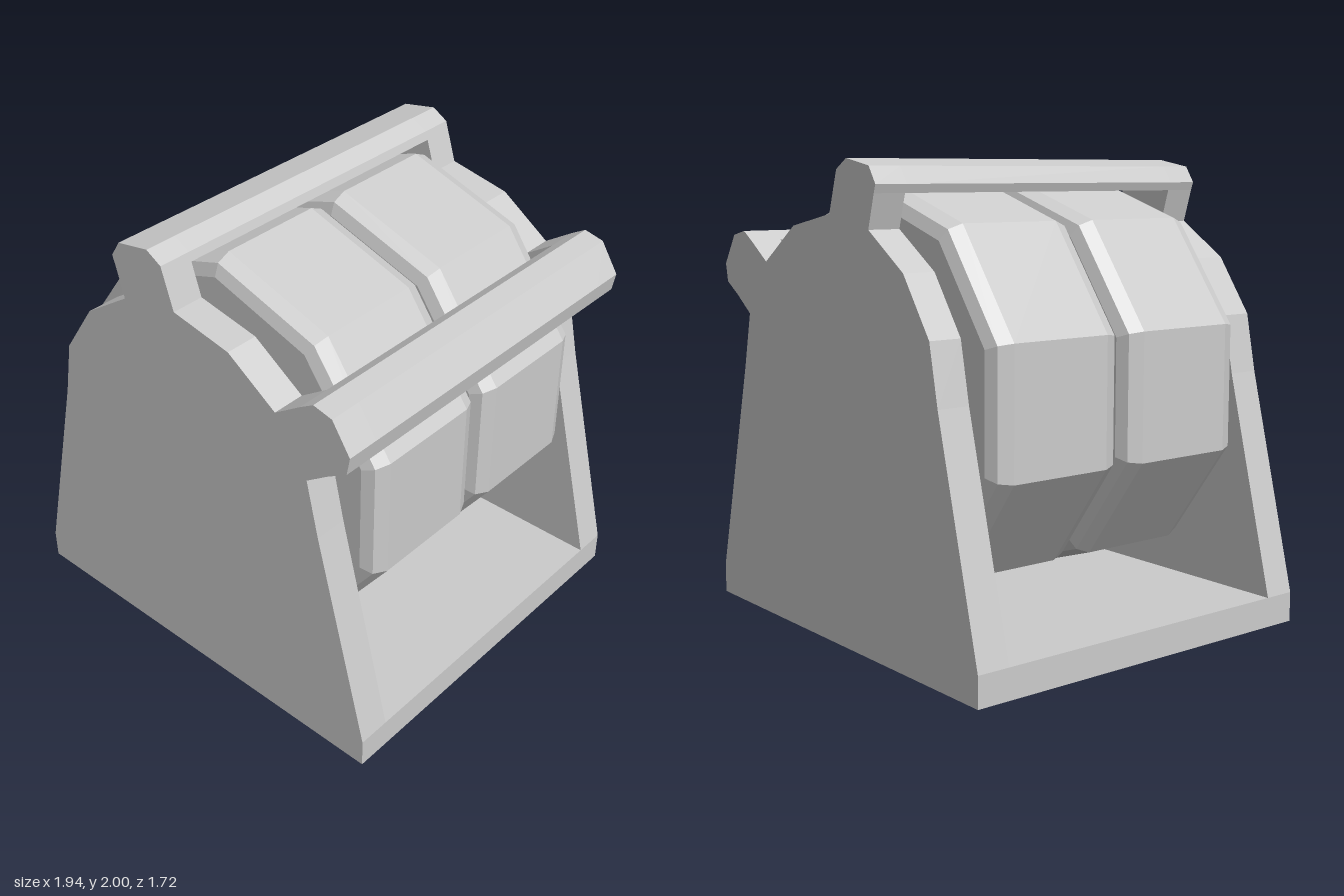
import * as THREE from 'three';

const HALF_DEPTH = 0.86;
const INNER = 0.715;

function material() {
  return new THREE.MeshStandardMaterial({ color: 0xcccccc, flatShading: true });
}

// Extrude an outline in the xy plane between two z positions
function slab(name, points, z0, z1) {
  const shape = new THREE.Shape(points.map(([x, y]) => new THREE.Vector2(x, y)));
  const geometry = new THREE.ExtrudeGeometry(shape, { depth: z1 - z0, bevelEnabled: false });
  geometry.translate(0, 0, z0);
  const mesh = new THREE.Mesh(geometry, material());
  mesh.name = name;
  return mesh;
}

// Ten-sided drum with bevelled rims, axis along z
function drum(name, z) {
  const profile = [
    [0, -0.315], [0.79, -0.315], [0.845, -0.295], [0.872, -0.235],
    [0.872, 0.235], [0.845, 0.295], [0.79, 0.315], [0, 0.315],
  ].map(([r, h]) => new THREE.Vector2(r, h));
  const geometry = new THREE.LatheGeometry(profile, 10);
  geometry.rotateX(-Math.PI / 2);
  const mesh = new THREE.Mesh(geometry, material());
  mesh.name = name;
  mesh.position.set(0, 1.045, z);
  return mesh;
}

export function createModel() {
  const group = new THREE.Group();
  group.name = 'drumMachine';

  // Side plates with two lugs that carry the cross bars
  const plate = [
    [-0.97, 0], [0.97, 0], [0.97, 0.13], [0.73, 1.08], [0.675, 1.33],
    [0.78, 1.405], [0.87, 1.46], [0.885, 1.54], [0.8, 1.67], [0.71, 1.69],
    [0.645, 1.65], [0.52, 1.565], [0.285, 1.725], [0, 1.78], [-0.045, 1.92],
    [-0.057, 1.957], [-0.13, 2], [-0.29, 1.97], [-0.335, 1.9], [-0.323, 1.865],
    [-0.282, 1.725], [-0.515, 1.57], [-0.68, 1.33], [-0.73, 1.08], [-0.97, 0.13],
  ];
  group.add(slab('frontPlate', plate, INNER, HALF_DEPTH));
  group.add(slab('backPlate', plate, -HALF_DEPTH, -INNER));

  // Floor between the plates
  const floor = [[-0.97, 0], [0.97, 0], [0.97, 0.13], [-0.97, 0.13]];
  group.add(slab('base', floor, -INNER, INNER));

  // Cross bars
  const topBar = [
    [-0.323, 1.865], [-0.045, 1.92], [-0.057, 1.957], [-0.13, 2], [-0.29, 1.97], [-0.335, 1.9],
  ];
  const sideBar = [
    [0.645, 1.65], [0.78, 1.41], [0.87, 1.46], [0.885, 1.54], [0.8, 1.67], [0.71, 1.69],
  ];
  group.add(slab('topBar', topBar, -INNER, INNER));
  group.add(slab('sideBar', sideBar, -INNER, INNER));

  // Pair of drums
  group.add(drum('frontDrum', 0.325));
  group.add(drum('backDrum', -0.343));

  return group;
}
